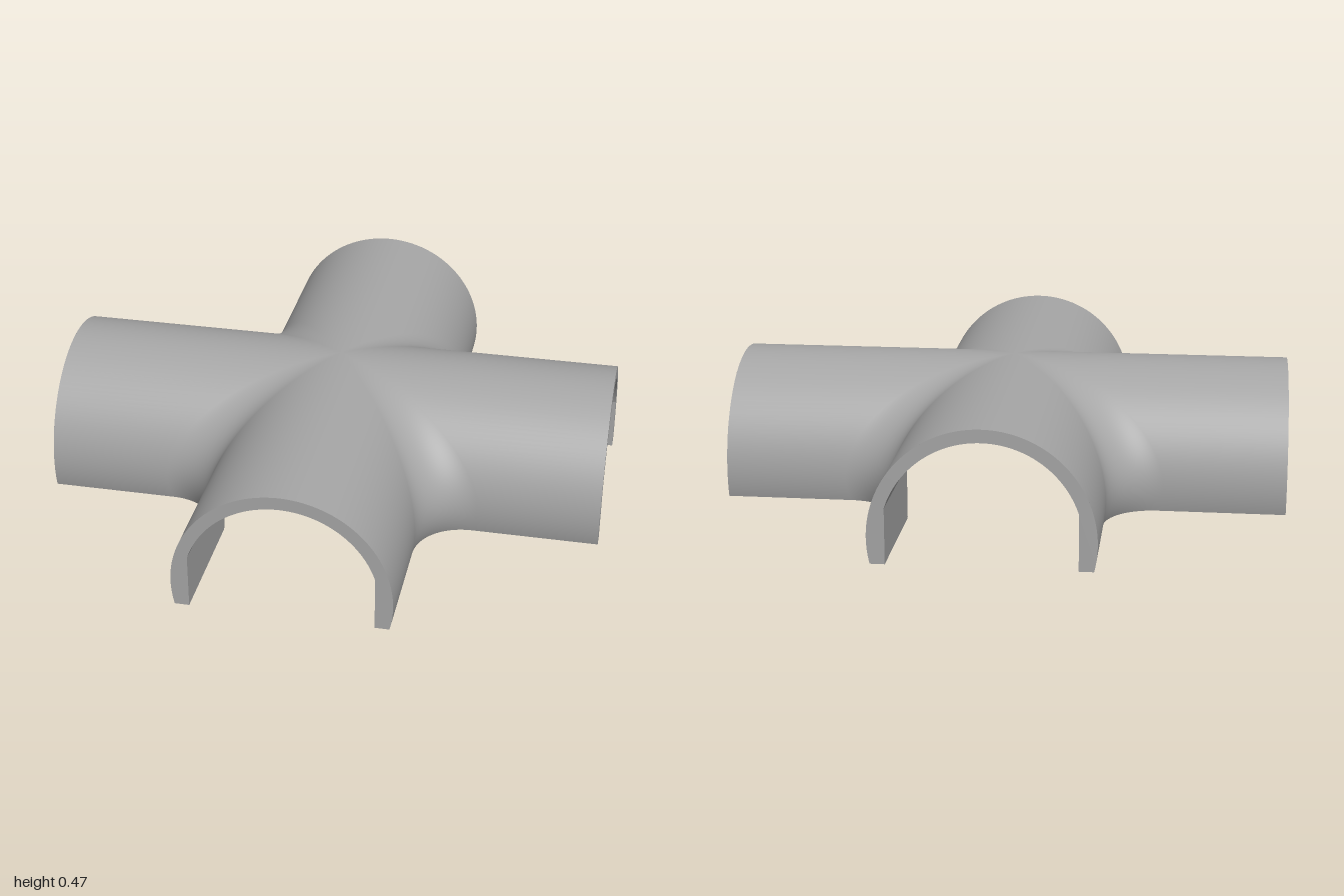
import * as THREE from 'three';

const CY = 0.09, R_OUT = 0.378, R_IN = 0.333, WALL = 0.317; // tunnel section
const REACH = R_OUT + 0.19;   // distance from tunnel axis to fillet centre
const ARC = 20, ROWS = 40, COLS = ARC + 3;
const THETA_WALL = Math.acos(WALL / R_IN);

// Point and normal on one quarter: straight barrel, corner fillet, straight barrel
function shell(R, theta, col) {
  const c = Math.cos(theta), s = Math.sin(theta);
  const t = THREE.MathUtils.clamp((col - 1) / ARC, 0, 1);
  // Across the fillet the normal turns from one tunnel's side to the other's
  const normal = new THREE.Vector3(c * t, s, c * (1 - t)).normalize();
  const pos = new THREE.Vector3(REACH * c, CY + REACH * s, REACH * c)
    .addScaledVector(normal, R - REACH);
  if (col === 0) pos.x = 1;
  if (col === COLS - 1) pos.z = 1;
  return { pos, normal };
}

// Angle at which a column of the outer shell meets the floor
function floorAngle(col) {
  let lo = -1, hi = 0.3;
  for (let k = 0; k < 40; k++) {
    const mid = (lo + hi) / 2;
    if (shell(R_OUT, mid, col).pos.y < 0) lo = mid; else hi = mid;
  }
  return hi;
}

// Grid surface from a rule giving position and normal
function grid(rows, rule, flip) {
  const p = [], n = [], index = [];
  for (let i = 0; i <= rows; i++) {
    for (let j = 0; j < COLS; j++) {
      const { pos, normal } = rule(i / rows, j);
      p.push(...pos.toArray());
      n.push(...normal.toArray());
      if (i < rows && j < COLS - 1) {
        const a = i * COLS + j, b = a + 1, c = a + COLS, d = c + 1;
        if (flip) index.push(a, b, c, b, d, c);
        else index.push(a, c, b, b, c, d);
      }
    }
  }
  const g = new THREE.BufferGeometry();
  g.setAttribute('position', new THREE.Float32BufferAttribute(p, 3));
  g.setAttribute('normal', new THREE.Float32BufferAttribute(n, 3));
  g.setIndex(index);
  return g;
}

export function createModel() {
  const group = new THREE.Group();
  const material = new THREE.MeshStandardMaterial({ color: 0xa5a5a5, side: THREE.DoubleSide });
  const lerp = THREE.MathUtils.lerp;
  const top = Math.PI / 2;
  const bases = Array.from({ length: COLS }, (_, j) => floorAngle(j));

  const outer = (v, j) => shell(R_OUT, lerp(bases[j], top, v), j);
  const vault = (v, j) => {
    const q = shell(R_IN, lerp(THETA_WALL, top, v), j);
    q.normal.negate();
    return q;
  };
  // Upright lower wall under the vault
  const wall = (v, j) => {
    const q = vault(0, j);
    q.pos.y *= v;
    q.normal.setY(0).normalize();
    return q;
  };
  // Flat underside between the outer and inner shells
  const foot = (v, j) => ({
    pos: outer(0, j).pos.lerp(wall(0, j).pos, v).setY(0),
    normal: new THREE.Vector3(0, -1, 0),
  });

  // Arch-shaped end face
  const base = Math.asin(-CY / R_OUT);
  const arch = new THREE.Shape();
  arch.moveTo(R_OUT * Math.cos(base), 0);
  arch.absarc(0, CY, R_OUT, base, Math.PI - base, false);
  arch.lineTo(-WALL, 0);
  arch.absarc(0, CY, R_IN, Math.PI - THETA_WALL, THETA_WALL, true);
  arch.lineTo(WALL, 0);

  const parts = {
    outerShell: grid(ROWS, outer, false),
    innerVault: grid(ROWS, vault, true),
    innerWall: grid(1, wall, true),
    foot: grid(1, foot, true),
    endFace: new THREE.ShapeGeometry(arch, 48).translate(0, 0, 1),
  };

  // Four identical quarters around the crossing
  for (let k = 0; k < 4; k++) {
    const quarter = new THREE.Group();
    quarter.name = 'tunnelQuarter' + (k + 1);
    quarter.rotation.y = k * Math.PI / 2;
    for (const [name, geometry] of Object.entries(parts)) {
      const mesh = new THREE.Mesh(geometry, material);
      mesh.name = name;
      quarter.add(mesh);
    }
    group.add(quarter);
  }
  return group;
}
